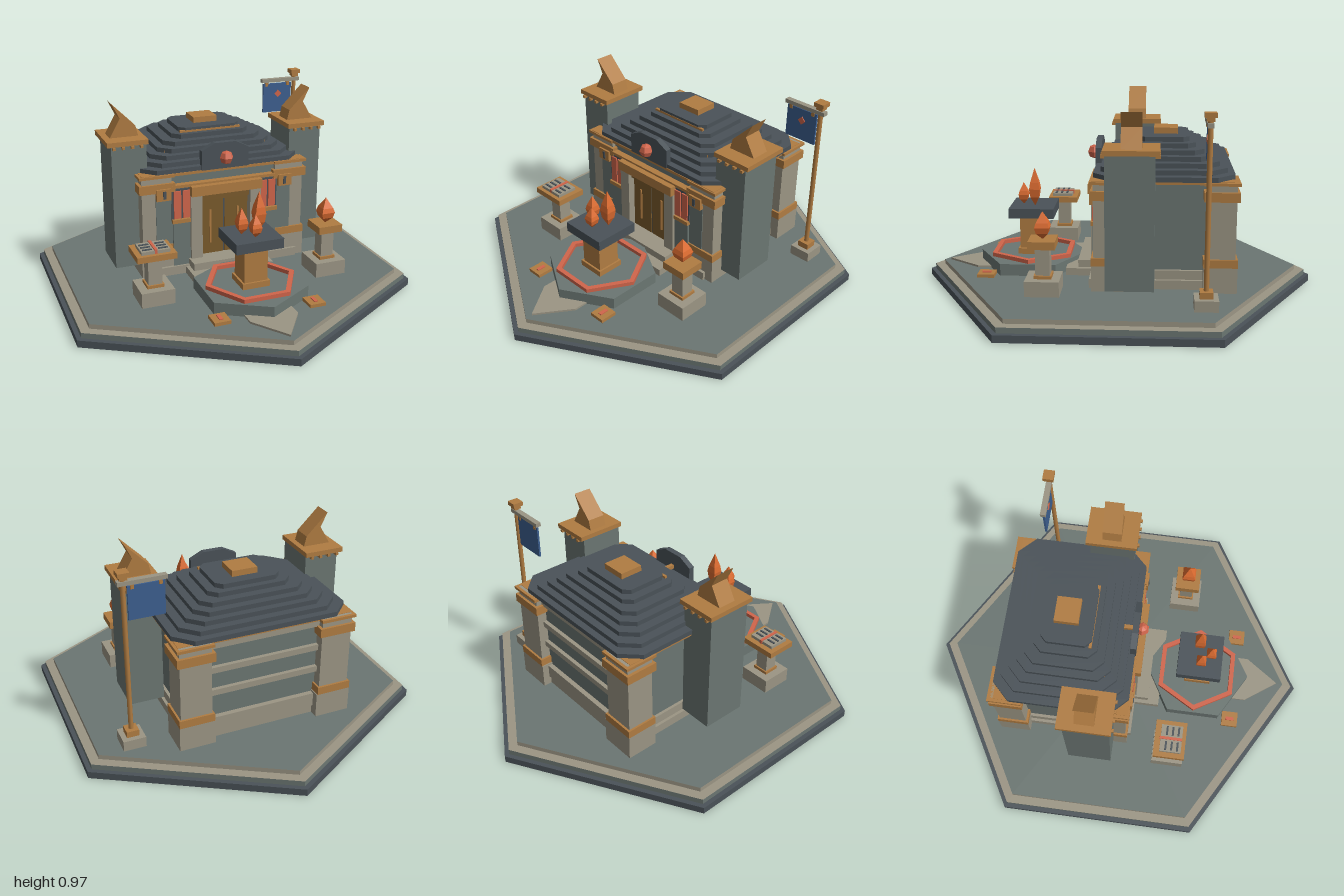
import * as THREE from 'three';

const mat = (name, color) => {
  const m = new THREE.MeshStandardMaterial({ color });
  m.name = name;
  return m;
};

export function createModel() {
  const slate = mat('slate', 0x6b7672), dark = mat('dark roof', 0x4a5258), stone = mat('stone', 0x9b9584);
  const copper = mat('copper', 0xb07c42), bronze = mat('bronze', 0x7a5a2c), red = mat('red', 0xd0654b);
  const orange = mat('orange crystal', 0xdb6b30), blue = mat('blue cloth', 0x3d5f8f);

  const model = new THREE.Group();
  model.name = 'hexagonalShrine';
  const group = (name, parent = model) => {
    const g = new THREE.Group();
    g.name = name;
    parent.add(g);
    return g;
  };
  const add = (parent, name, geo, material) => {
    const m = new THREE.Mesh(geo, material);
    m.name = name;
    parent.add(m);
    return m;
  };
  // Box given by its limits on each axis
  const box = (parent, name, material, x0, x1, y0, y1, z0, z1) => {
    const m = add(parent, name, new THREE.BoxGeometry(Math.abs(x1 - x0), y1 - y0, z1 - z0), material);
    m.position.set((x0 + x1) / 2, (y0 + y1) / 2, (z0 + z1) / 2);
    return m;
  };
  const faceted = (geo) => {
    const g = geo.toNonIndexed();
    g.computeVertexNormals();
    return g;
  };
  const hexSlab = (parent, name, r, y0, y1, z, materials) => {
    const m = add(parent, name, faceted(new THREE.CylinderGeometry(r, r, y1 - y0, 6)), materials);
    m.position.set(0, (y0 + y1) / 2, z);
    return m;
  };
  const polygon = (pts) => new THREE.Shape(pts.map(([x, y]) => new THREE.Vector2(x, y)));
  const extrude = (shape, depth) => new THREE.ExtrudeGeometry(shape, { depth, bevelEnabled: false });
  const hexagon = (r) => Array.from({ length: 6 }, (_, i) => [r * Math.cos(i * Math.PI / 3), r * Math.sin(i * Math.PI / 3)]);
  // Four-sided crystal: short lower point, slightly flared body, long tip
  const crystal = (parent, name, material, x, y, z, half, h) => {
    const r = half * Math.SQRT2;
    const pts = [[0, 0], [r * 0.8, h * 0.24], [r, h * 0.45], [r * 0.8, h * 0.62], [0, h]];
    const geo = new THREE.LatheGeometry(pts.map(([a, b]) => new THREE.Vector2(a, b)), 4, Math.PI / 4);
    add(parent, name, faceted(geo), material).position.set(x, y, z);
  };

  // Stepped hexagonal ground
  const ground = group('base');
  hexSlab(ground, 'baseFoot', 1, 0, 0.035, 0, dark);
  hexSlab(ground, 'baseRim', 0.975, 0.035, 0.062, 0, [slate, stone, slate]);
  hexSlab(ground, 'baseFloor', 0.925, 0.062, 0.085, 0, [stone, slate, slate]);

  // Hall body
  const hall = group('hall');
  box(hall, 'foundation', stone, -0.4, 0.4, 0.085, 0.13, -0.54, 0.12);
  box(hall, 'baseCourse', stone, -0.385, 0.385, 0.13, 0.175, -0.54, 0.06);
  box(hall, 'walls', slate, -0.37, 0.37, 0.13, 0.615, -0.525, 0.03);
  box(hall, 'frontWall', slate, -0.28, 0.28, 0.13, 0.61, 0.02, 0.075);
  box(hall, 'rearPlinth', stone, -0.3, 0.3, 0.13, 0.2, -0.55, -0.52);
  for (const y of [0.32, 0.44, 0.57]) box(hall, 'rearBand', stone, -0.3, 0.3, y, y + 0.03, -0.545, -0.52);
  box(hall, 'eavesFascia', copper, -0.435, 0.435, 0.608, 0.622, -0.56, 0.103);

  // Four corner piers with copper bands
  for (const s of [-1, 1]) {
    for (const [z0, z1] of [[-0.58, -0.43], [-0.05, 0.1]]) {
      const pier = group('cornerPier', hall);
      box(pier, 'pierBase', stone, s * 0.265, s * 0.445, 0.085, 0.21, z0 - 0.005, z1 + 0.005);
      box(pier, 'pierShaft', stone, s * 0.28, s * 0.435, 0.21, 0.62, z0 + 0.005, z1 - 0.005);
      box(pier, 'lowerBand', copper, s * 0.27, s * 0.445, 0.21, 0.25, z0 - 0.006, z1 + 0.006);
      box(pier, 'upperBand', copper, s * 0.265, s * 0.45, 0.53, 0.575, z0 - 0.008, z1 + 0.008);
      box(pier, 'pierCap', copper, s * 0.27, s * 0.45, 0.606, 0.62, z0 - 0.01, z1 + 0.01);
    }
    // Slate panel and lamp box on the front of the pier
    box(hall, 'pierPanel', slate, s * 0.28, s * 0.365, 0.25, 0.53, 0.09, 0.099);
    box(hall, 'lampBox', copper, s * 0.29, s * 0.365, 0.49, 0.55, 0.09, 0.118);
    box(hall, 'lampSlit', dark, s * 0.317, s * 0.332, 0.5, 0.54, 0.116, 0.122);
    // Tall red windows above slate pilasters
    box(hall, 'pilaster', slate, s * 0.19, s * 0.28, 0.13, 0.375, 0.07, 0.11);
    box(hall, 'windowFrame', dark, s * 0.18, s * 0.285, 0.375, 0.54, 0.07, 0.105);
    box(hall, 'windowSill', copper, s * 0.18, s * 0.285, 0.362, 0.382, 0.07, 0.12);
    for (const x of [0.19, 0.237]) box(hall, 'windowPane', red, s * x, s * (x + 0.038), 0.385, 0.53, 0.104, 0.112);
    box(hall, 'doorJamb', stone, s * 0.13, s * 0.19, 0.13, 0.5, 0.07, 0.125);
    box(hall, 'door', bronze, s * 0.004, s * 0.13, 0.16, 0.46, 0.07, 0.086);
    box(hall, 'doorHandle', copper, s * 0.07, s * 0.08, 0.22, 0.4, 0.085, 0.093);
  }
  box(hall, 'doorGap', dark, -0.004, 0.004, 0.16, 0.46, 0.07, 0.082);
  box(hall, 'doorHeader', bronze, -0.13, 0.13, 0.46, 0.5, 0.07, 0.105);
  box(hall, 'lintel', copper, -0.19, 0.19, 0.5, 0.55, 0.07, 0.14);
  box(hall, 'frieze', copper, -0.28, 0.28, 0.545, 0.56, 0.07, 0.11);
  box(hall, 'lowerStep', stone, -0.22, 0.22, 0.085, 0.122, 0.1, 0.25);
  box(hall, 'upperStep', stone, -0.2, 0.2, 0.122, 0.16, 0.07, 0.19);

  // Stepped roof of chamfered tiers
  const roof = group('roof');
  const tiers = [[0.44, 0.335], [0.395, 0.302], [0.35, 0.265], [0.305, 0.232], [0.265, 0.195], [0.21, 0.155], [0.165, 0.125]];
  tiers.forEach(([a, b], i) => {
    const c = 0.085 - i * 0.009;
    const shape = polygon([[a, -b + c], [a, b - c], [a - c, b], [c - a, b], [-a, b - c], [-a, c - b], [c - a, -b], [a - c, -b]]);
    const tier = add(roof, 'roofTier', extrude(shape, 0.024), dark);
    tier.rotation.x = -Math.PI / 2;
    tier.position.set(0, 0.62 + i * 0.0235, -0.235);
  });
  box(roof, 'roofCap', copper, -0.065, 0.065, 0.784, 0.815, -0.305, -0.185);
  box(roof, 'lowerRoofTrim', copper, -0.275, 0.275, 0.69, 0.703, -0.045, -0.028);
  box(roof, 'upperRoofTrim', copper, -0.165, 0.165, 0.76, 0.772, -0.122, -0.108);

  // Pediment with red gem
  const pediment = group('pediment');
  const gable = polygon([[-0.125, 0.62], [0.125, 0.62], [0.125, 0.72], [0.055, 0.755], [-0.055, 0.755], [-0.125, 0.72]]);
  add(pediment, 'pedimentPlate', extrude(gable, 0.03), dark).position.z = 0.075;
  box(pediment, 'pedimentBrace', copper, -0.01, 0.01, 0.67, 0.69, 0, 0.08);
  const gem = add(pediment, 'gem', faceted(new THREE.SphereGeometry(0.036, 6, 4)), red);
  gem.position.set(0, 0.68, 0.12);

  // Side towers with beaked copper crowns
  for (const s of [-1, 1]) {
    const tower = group(s > 0 ? 'leftTower' : 'rightTower');
    box(tower, 'towerShaft', slate, s * 0.385, s * 0.562, 0.13, 0.77, -0.195, 0.033);
    box(tower, 'towerCap', copper, s * 0.376, s * 0.582, 0.768, 0.792, -0.217, 0.043);
    for (let i = 0; i < 4; i++) {
      const x = 0.405 + i * 0.046;
      for (const z of [-0.208, 0.04]) box(tower, 'capStud', copper, s * x, s * (x + 0.014), 0.754, 0.768, z - 0.012, z + 0.012);
    }
    const pts = [[0.55, 0.79], [0.405, 0.79], [0.418, 0.845], [0.53, 0.957], [0.495, 0.885]];
    const crown = polygon(pts.map(([x, y]) => [s * x, y]));
    add(tower, 'towerCrown', extrude(crown, 0.096), copper).position.z = -0.135;
  }

  // Crystal altar on its dais
  const altar = group('altar');
  hexSlab(altar, 'dais', 0.28, 0.085, 0.145, 0.44, slate);
  const ringShape = polygon(hexagon(0.233));
  ringShape.holes.push(new THREE.Path(hexagon(0.206).map(([x, y]) => new THREE.Vector2(x, y))));
  const ring = add(altar, 'redRing', extrude(ringShape, 0.02), red);
  ring.rotation.x = -Math.PI / 2;
  ring.position.set(0, 0.145, 0.44);
  box(altar, 'altarFoot', copper, -0.07, 0.07, 0.145, 0.175, 0.375, 0.515);
  box(altar, 'altarStem', copper, -0.06, 0.06, 0.175, 0.35, 0.385, 0.505);
  box(altar, 'altarTop', dark, -0.12, 0.12, 0.35, 0.4, 0.322, 0.552);
  crystal(altar, 'crystal', orange, -0.05, 0.4, 0.44, 0.025, 0.135);
  crystal(altar, 'crystal', orange, 0, 0.398, 0.49, 0.025, 0.115);
  crystal(altar, 'tallCrystal', orange, 0.045, 0.4, 0.425, 0.027, 0.2);
  const pointer = add(altar, 'stonePointer', extrude(polygon([[0.12, -0.64], [0.12, -0.72], [0, -0.89], [-0.12, -0.72], [-0.12, -0.64]].reverse()), 0.01), stone);
  pointer.rotation.x = -Math.PI / 2;
  pointer.position.y = 0.085;
  for (const s of [-1, 1]) {
    box(altar, 'floorTile', copper, s * 0.2, s * 0.28, 0.085, 0.102, 0.605, 0.69);
    box(altar, 'tileInlay', red, s * 0.231, s * 0.249, 0.102, 0.107, 0.625, 0.67);
  }

  // Stone pedestals: crystal brazier on the left, open tablet on the right
  const pedestal = (name, x) => {
    const g = group(name);
    g.position.set(x, 0, 0.33);
    box(g, 'pedestalBase', stone, -0.082, 0.082, 0.085, 0.16, -0.082, 0.082);
    box(g, 'pedestalCollar', copper, -0.042, 0.042, 0.16, 0.175, -0.042, 0.042);
    box(g, 'pedestalColumn', stone, -0.034, 0.034, 0.175, 0.32, -0.034, 0.034);
    return g;
  };
  const brazier = pedestal('brazier', 0.455);
  box(brazier, 'brazierCap', copper, -0.064, 0.064, 0.31, 0.348, -0.064, 0.064);
  crystal(brazier, 'brazierCrystal', orange, 0, 0.345, 0, 0.035, 0.135);
  const lectern = pedestal('lectern', -0.455);
  box(lectern, 'lecternTop', copper, -0.096, 0.096, 0.315, 0.345, -0.08, 0.08);
  box(lectern, 'tabletSpine', red, -0.007, 0.007, 0.345, 0.366, -0.055, 0.06);
  for (const s of [-1, 1]) {
    box(lectern, 'tabletPage', stone, s * 0.007, s * 0.07, 0.345, 0.361, -0.05, 0.06);
    for (const z of [-0.02, 0.01, 0.04]) box(lectern, 'tabletGroove', dark, s * 0.016, s * 0.062, 0.361, 0.365, z - 0.005, z + 0.005);
  }

  // Flagpole with hanging banner
  const flag = group('flagpole');
  flag.position.set(0.63, 0, -0.43);
  box(flag, 'poleBase', stone, -0.055, 0.055, 0.085, 0.137, -0.055, 0.055);
  box(flag, 'poleCollar', copper, -0.03, 0.03, 0.137, 0.168, -0.03, 0.03);
  const pole = add(flag, 'pole', new THREE.CylinderGeometry(0.012, 0.012, 0.8, 8), copper);
  pole.position.y = 0.55;
  box(flag, 'poleNeck', copper, -0.018, 0.018, 0.935, 0.955, -0.018, 0.018);
  box(flag, 'poleFinial', copper, -0.027, 0.027, 0.952, 0.973, -0.027, 0.027);
  box(flag, 'crossbar', stone, -0.2, 0.027, 0.908, 0.928, -0.014, 0.014);
  box(flag, 'banner', blue, -0.19, -0.018, 0.735, 0.9, -0.005, 0.005);
  for (const x of [-0.17, -0.04]) box(flag, 'bannerTab', copper, x - 0.008, x + 0.008, 0.885, 0.91, -0.009, 0.009);
  const emblem = box(flag, 'bannerEmblem', red, -0.115, -0.085, 0.825, 0.855, 0.004, 0.009);
  emblem.rotation.z = Math.PI / 4;

  return model;
}
